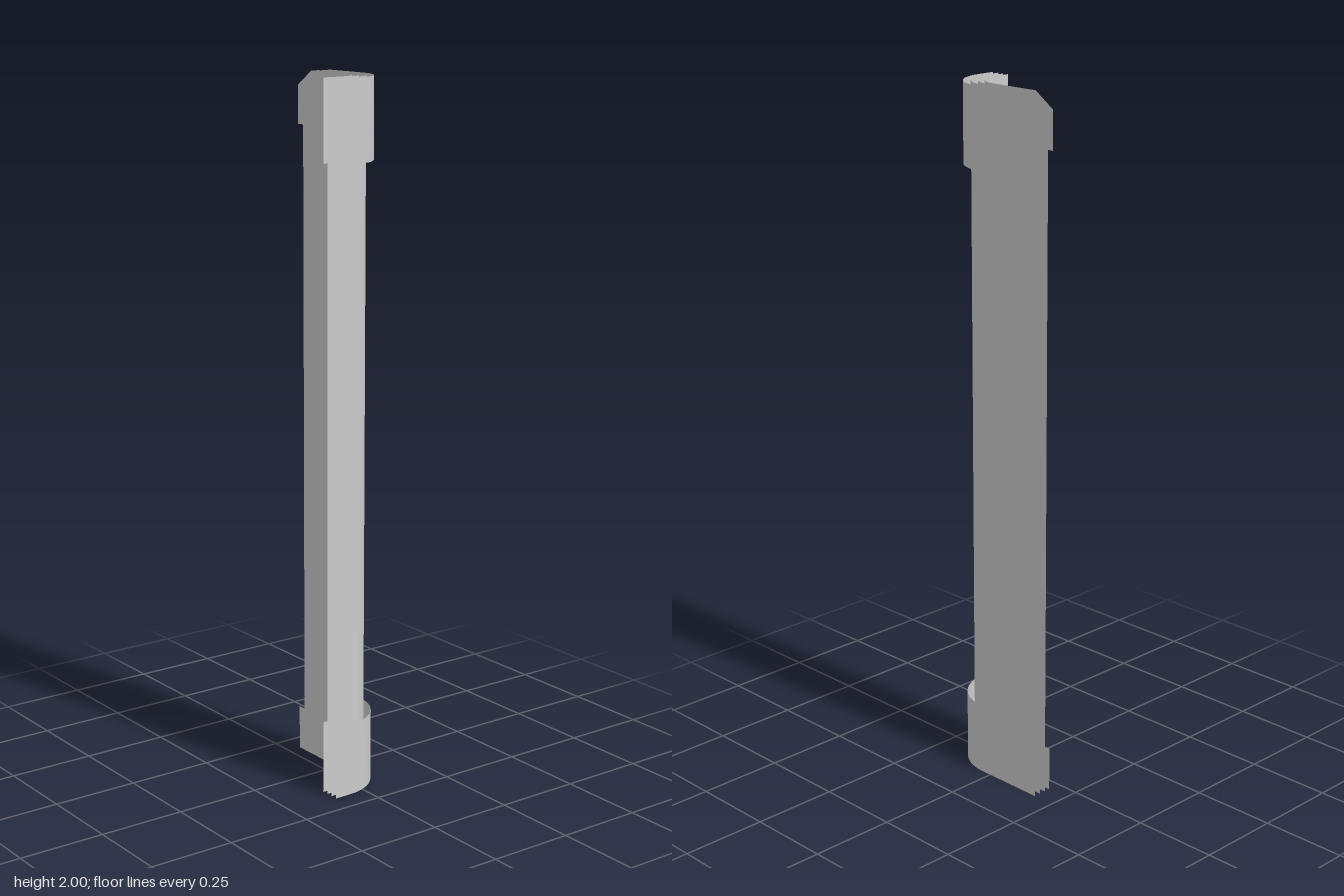
import * as THREE from 'three';

const material = new THREE.MeshStandardMaterial({ color: 0xcccccc, side: THREE.DoubleSide });
const BACK = -0.184, NOTCH_BACK = -0.12, NOTCH_FRONT = -0.01;
const CENTRE = new THREE.Vector2(-0.051, 0.034), RADIUS = 0.15;

// Plan outline (x, z): side wall from the back, rounded corner, front wall.
function planPath(inset) {
  const r = RADIUS - inset;
  const path = [BACK, NOTCH_BACK, NOTCH_FRONT].map(z => new THREE.Vector2(CENTRE.x + r, z));
  const steps = 16;
  for (let i = 0; i <= steps; i++) {
    const a = (i / steps) * Math.PI / 2;
    path.push(new THREE.Vector2(CENTRE.x + r * Math.cos(a), CENTRE.y + r * Math.sin(a)));
  }
  path.push(new THREE.Vector2(-0.1, CENTRE.y + r));
  return path;
}

// Height that changes linearly from the back value to the front value between two depths.
const ramp = (z0, z1, back, front) => z =>
  THREE.MathUtils.lerp(back, front, THREE.MathUtils.clamp((z - z0) / (z1 - z0), 0, 1));

const ground = () => 0;
const chamferedTop = ramp(BACK, NOTCH_BACK, 1.957, 2);
const upperCapEdge = ramp(NOTCH_BACK, NOTCH_FRONT, 1.85, 1.775);
const lowerCapEdge = ramp(NOTCH_BACK, NOTCH_FRONT, 0.13, 0.21);

// Thin upright sheet following the plan outline between two height rules.
function sheet(name, inset, bottom, top) {
  const path = planPath(inset), positions = [], index = [];
  path.forEach(({ x, y: z }, i) => {
    positions.push(x, bottom(z), z, x, top(z), z);
    if (i > 0) {
      const b = 2 * i, a = b - 2;
      index.push(a, a + 1, b, b, a + 1, b + 1);
    }
  });
  const geometry = new THREE.BufferGeometry();
  geometry.setAttribute('position', new THREE.Float32BufferAttribute(positions, 3));
  geometry.setIndex(index);
  geometry.computeVertexNormals();
  const mesh = new THREE.Mesh(geometry, material);
  mesh.name = name;
  return mesh;
}

export function createModel() {
  const model = new THREE.Group();
  model.name = 'cornerGuard';

  // Two full-height walls
  model.add(sheet('outerWall', 0.021, ground, chamferedTop));
  model.add(sheet('innerWall', 0.04, ground, chamferedTop));

  // Notched bands at both ends, outside and inside the walls
  for (const [side, inset] of [['outer', 0], ['inner', 0.058]]) {
    model.add(sheet(side + 'UpperBand', inset, upperCapEdge, chamferedTop));
    model.add(sheet(side + 'LowerBand', inset, ground, lowerCapEdge));
  }
  return model;
}
